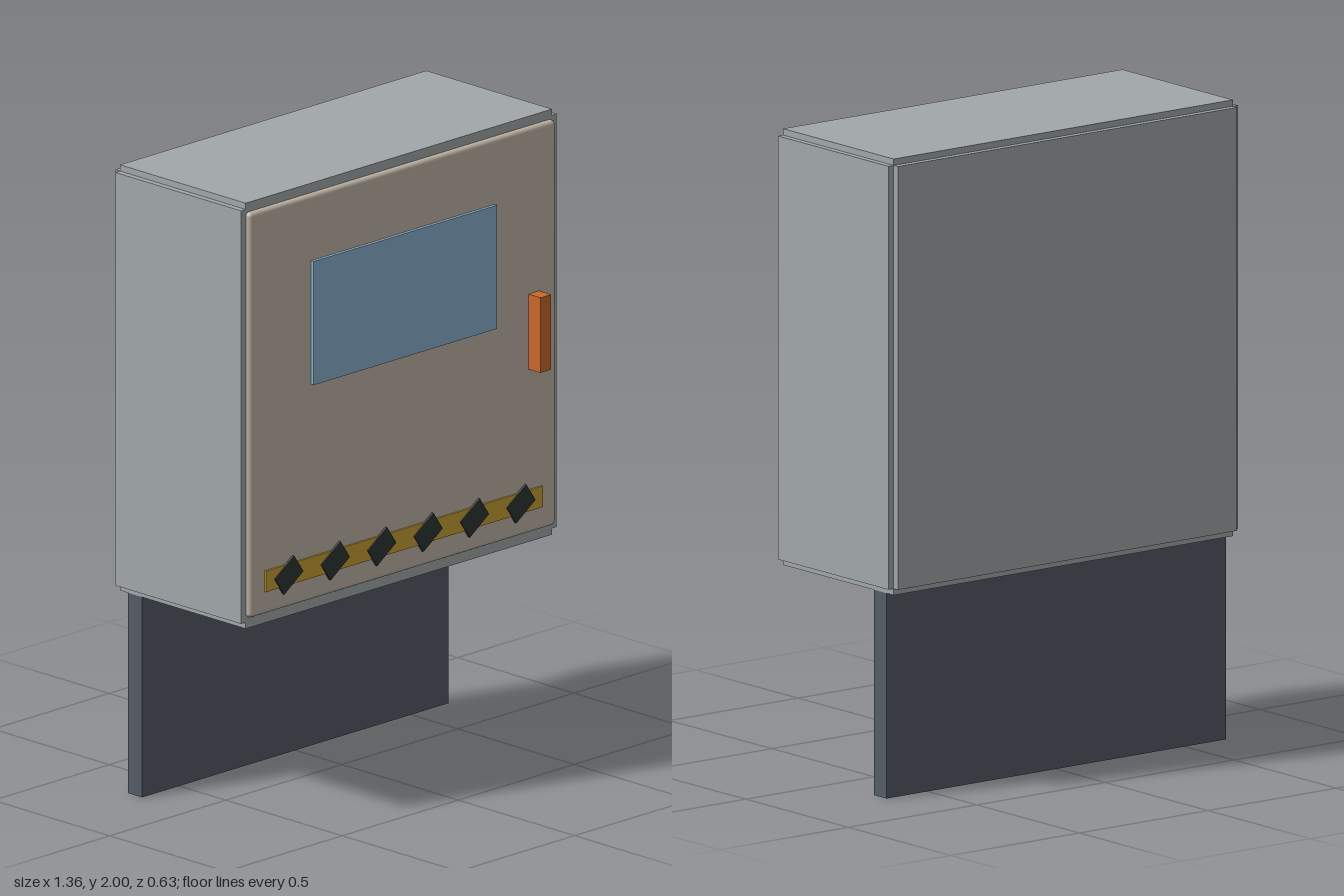
import * as THREE from 'three';
import { RoundedBoxGeometry } from 'three/addons/geometries/RoundedBoxGeometry.js';

const paint = (name, color) => {
  const m = new THREE.MeshStandardMaterial({ color });
  m.name = name;
  return m;
};

export function createModel() {
  const grey = paint('cabinet grey', 0xa1a8aa);
  const beige = paint('door beige', 0xbfb5a6);
  const slate = paint('plinth slate', 0x555c66);
  const blue = paint('window blue', 0x8ab0cc);
  const orange = paint('handle orange', 0xc9682c);
  const yellow = paint('hazard yellow', 0xc8a034);
  const black = paint('hazard black', 0x2c3433);

  const model = new THREE.Group();
  model.name = 'controlCabinet';

  const add = (parent, name, geometry, material, x, y, z) => {
    const mesh = new THREE.Mesh(geometry, material);
    mesh.name = name;
    mesh.position.set(x, y, z);
    parent.add(mesh);
    return mesh;
  };
  // Box given by its lower and upper corners
  const box = (parent, name, material, [x0, y0, z0], [x1, y1, z1]) =>
    add(parent, name, new THREE.BoxGeometry(x1 - x0, y1 - y0, z1 - z0), material,
      (x0 + x1) / 2, (y0 + y1) / 2, (z0 + z1) / 2);

  // Cabinet: a core with raised panels that leave notched edges
  const cabinet = new THREE.Group();
  cabinet.name = 'cabinet';
  model.add(cabinet);
  box(cabinet, 'core', grey, [-0.66, 0.66, -0.295], [0.66, 1.98, 0.245]);
  box(cabinet, 'topPanel', grey, [-0.66, 1.98, -0.295], [0.66, 2, 0.245]);
  box(cabinet, 'bottomPanel', grey, [-0.66, 0.64, -0.295], [0.66, 0.66, 0.245]);
  box(cabinet, 'leftPanel', grey, [0.66, 0.66, -0.295], [0.68, 1.98, 0.245]);
  box(cabinet, 'rightPanel', grey, [-0.68, 0.66, -0.295], [-0.66, 1.98, 0.245]);
  box(cabinet, 'backPanel', grey, [-0.66, 0.66, -0.315], [0.66, 1.98, -0.295]);

  // Support plate below the cabinet, towards the back
  box(model, 'supportPlate', slate, [-0.66, 0, -0.26], [0.66, 0.64, -0.2]);

  // Door with softened edges
  add(model, 'door', new RoundedBoxGeometry(1.32, 1.295, 0.03, 3, 0.014), beige, 0, 1.3225, 0.248);

  // Window and handle
  box(model, 'window', blue, [-0.396, 1.365, 0.262], [0.394, 1.76, 0.274]);
  box(model, 'handle', orange, [0.54, 1.2, 0.262], [0.586, 1.44, 0.315]);

  // Hazard strip with tilted dark marks
  box(model, 'hazardStrip', yellow, [-0.597, 0.748, 0.262], [0.597, 0.815, 0.269]);
  for (let i = 0; i < 6; i++) {
    const mark = add(model, 'hazardMark', new THREE.BoxGeometry(0.1, 0.07, 0.008), black,
      -0.5 + i * 0.2, 0.781, 0.269);
    mark.rotation.z = 0.6;
  }
  return model;
}
